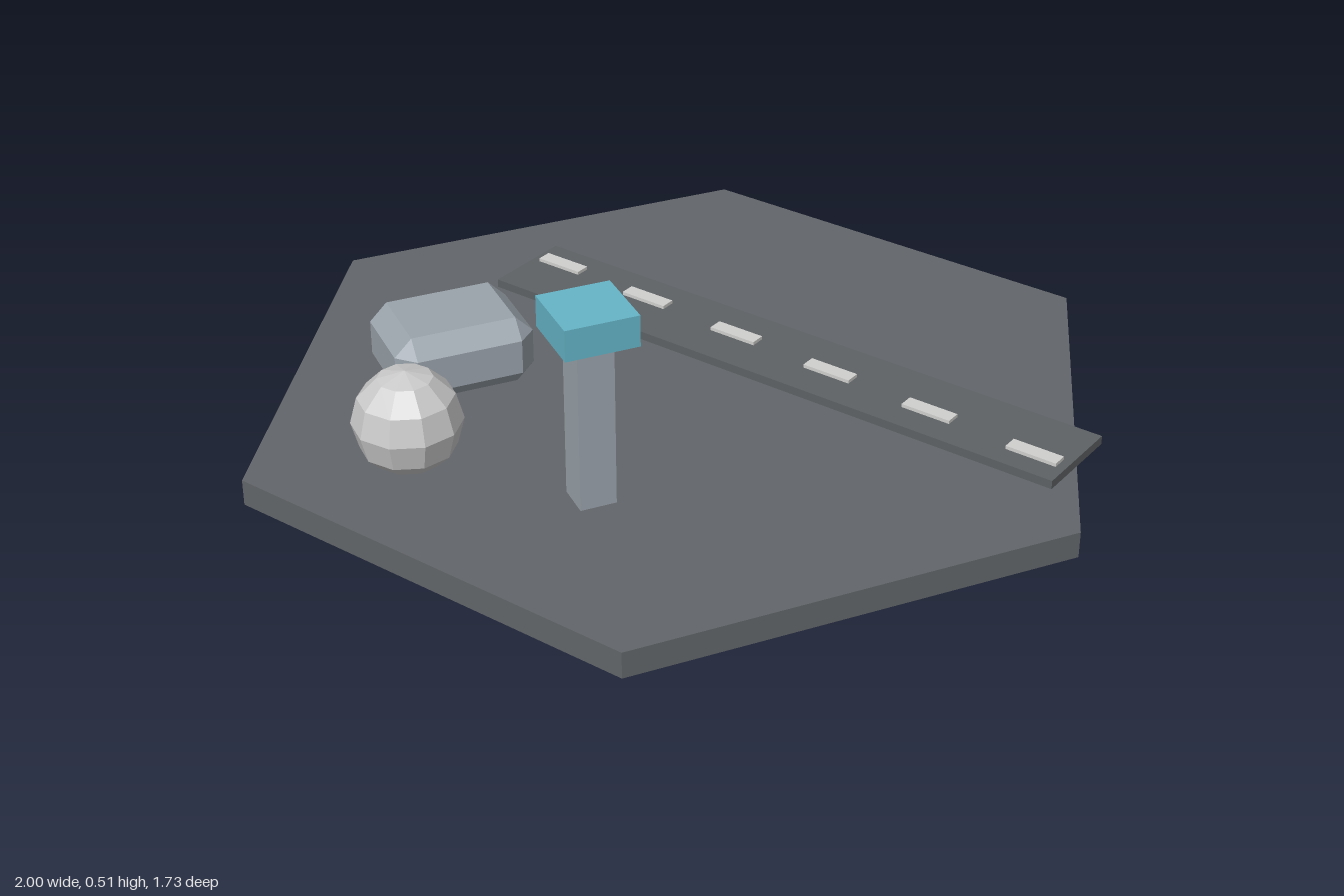
import * as THREE from 'three';
import { ConvexGeometry } from 'three/addons/geometries/ConvexGeometry.js';

const mat = (name, color, flat = false) => {
  const m = new THREE.MeshStandardMaterial({ color, flatShading: flat });
  m.name = name;
  return m;
};

// Box with all edges and corners cut at 45 degrees
function chamferedBox(w, h, d, c) {
  const pts = [];
  for (const sx of [-1, 1]) for (const sy of [-1, 1]) for (const sz of [-1, 1]) {
    const [x, y, z] = [w / 2, h / 2, d / 2];
    pts.push(new THREE.Vector3(sx * x, sy * (y - c), sz * (z - c)));
    pts.push(new THREE.Vector3(sx * (x - c), sy * y, sz * (z - c)));
    pts.push(new THREE.Vector3(sx * (x - c), sy * (y - c), sz * z));
  }
  return new ConvexGeometry(pts);
}

export function createModel() {
  const group = new THREE.Group();
  group.name = 'airfieldTile';
  const ground = mat('groundGrey', 0x626569, true);
  const asphalt = mat('runwayGrey', 0x5e6265);
  const paint = mat('markingWhite', 0xd0d0ce);
  const concrete = mat('buildingGrey', 0x9aa3ab, true);
  const domeMat = mat('domeGrey', 0xcacaca, true);
  const glass = mat('cabBlue', 0x66b5c8);

  const add = (name, geometry, material, x, y, z, parent = group) => {
    const mesh = new THREE.Mesh(geometry, material);
    mesh.name = name;
    mesh.position.set(x, y, z);
    parent.add(mesh);
    return mesh;
  };

  // Hexagonal ground plate, corners on the x axis
  add('groundPlate', new THREE.CylinderGeometry(1, 1, 0.06, 6).rotateY(Math.PI / 6), ground, 0, 0.03, 0);

  // Slanted runway, overhanging the plate at the front
  const angle = Math.PI / 6;
  add('runway', new THREE.BoxGeometry(0.22, 0.02, 1.5), asphalt, 0.25, 0.07, 0).rotation.y = angle;

  // Dashed centre line
  const dash = new THREE.BoxGeometry(0.035, 0.008, 0.12);
  for (let i = 0; i < 6; i++) {
    const z = -0.6 + i * 0.24;
    add('runwayDash', dash, paint, 0.25 + z / 2, 0.084, z).rotation.y = angle;
  }

  // Hangar with chamfered edges
  add('hangar', chamferedBox(0.32, 0.16, 0.26, 0.04), concrete, -0.45, 0.14, -0.25);

  // Faceted radar dome, sunk a little into the ground
  add('radarDome', new THREE.SphereGeometry(0.12, 10, 6).rotateY(Math.PI / 2), domeMat, -0.65, 0.15, 0.05);

  // Control tower
  const tower = new THREE.Group();
  tower.name = 'controlTower';
  tower.position.set(-0.355, 0, 0.35);
  group.add(tower);
  add('towerShaft', new THREE.BoxGeometry(0.08, 0.38, 0.08), concrete, 0, 0.25, 0, tower);
  add('towerCab', new THREE.BoxGeometry(0.16, 0.07, 0.16), glass, 0, 0.475, 0, tower);

  return group;
}
